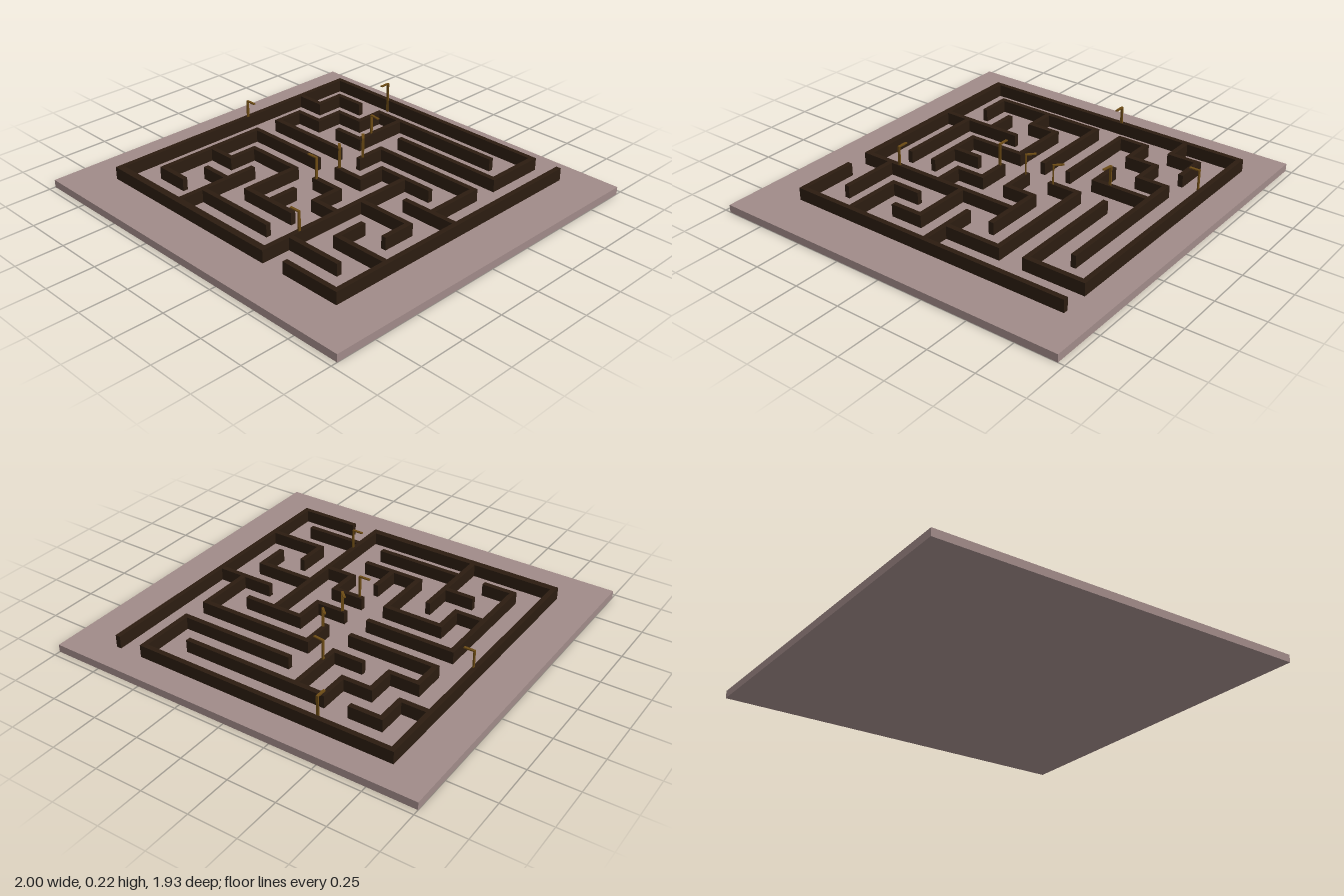
import * as THREE from 'three';

const BASE_TOP = 0.04, WALL_TOP = 0.106, WALL = 0.027;
const baseMat = new THREE.MeshStandardMaterial({ color: 0xa08a88 });
const wallMat = new THREE.MeshStandardMaterial({ color: 0x2b1c10 });
const lampMat = new THREE.MeshStandardMaterial({ color: 0x6b4a14 });

// Maze grid lines, 0 to 10 on each axis
const col = i => -0.78 + 0.1525 * i;
const row = j => -0.81 + 0.153 * j;

// Wall runs per row: [from column, to column]
const rows = [
  [[0, 9]],
  [[1, 2], [3, 8]],
  [[0, 1], [2, 3], [5, 9]],
  [[1, 2], [3, 4], [5, 9]],
  [[1, 4], [6, 8]],
  [[1, 4], [5, 6], [8, 10]],
  [[2, 4], [5, 6], [7, 9]],
  [[1, 2], [6, 7]],
  [[2, 3], [4, 6], [8, 10]],
  [[1, 2], [3, 6], [7, 9]],
  [[0, 7], [8, 10]],
];

// Wall runs per column: [from row, to row]
const cols = [
  [[0, 10]],
  [[1, 2], [3, 4], [5, 9]],
  [[2, 3], [6, 7]],
  [[1, 2], [7, 10]],
  [[1, 3], [6, 8]],
  [[3, 4], [7, 8]],
  [[4, 5], [6, 7]],
  [[4, 10]],
  [[7, 8]],
  [[0, 2], [3, 5], [6, 7]],
  [[0, 10]],
];

// Lamps: post x, post z, arm tip x, arm tip z, top height
const lamps = [
  [-0.775, -0.11, -0.72, -0.11, 0.2],
  [-0.39, -0.795, -0.39, -0.742, 0.21],
  [-0.17, -0.437, -0.115, -0.43, 0.212],
  [-0.012, -0.212, -0.05, -0.25, 0.211],
  [-0.012, -0.047, -0.05, -0.083, 0.216],
  [-0.01, 0.112, -0.067, 0.112, 0.224],
  [0.292, 0.508, 0.236, 0.508, 0.21],
];

function box(name, mat, w, h, d, x, y, z) {
  const mesh = new THREE.Mesh(new THREE.BoxGeometry(w, h, d), mat);
  mesh.name = name;
  mesh.position.set(x, y, z);
  return mesh;
}

// Post with a short flat arm, turned towards the arm tip
function makeLamp([x, z, tipX, tipZ, top]) {
  const lamp = new THREE.Group();
  lamp.name = 'lamp';
  const reach = Math.hypot(tipX - x, tipZ - z);
  const height = top - BASE_TOP;
  lamp.add(box('lampPost', lampMat, 0.007, height, 0.013, 0, height / 2, 0));
  lamp.add(box('lampArm', lampMat, reach, 0.006, 0.013, reach / 2, height - 0.003, 0));
  lamp.position.set(x, BASE_TOP, z);
  lamp.rotation.y = -Math.atan2(tipZ - z, tipX - x);
  return lamp;
}

export function createModel() {
  const model = new THREE.Group();
  model.name = 'maze';
  model.add(box('base', baseMat, 2, BASE_TOP, 1.934, 0, BASE_TOP / 2, 0));

  // Maze walls, sunk slightly into the base
  const walls = new THREE.Group();
  walls.name = 'walls';
  const bottom = BASE_TOP - 0.01, h = WALL_TOP - bottom, y = bottom + h / 2;
  rows.forEach((runs, j) => runs.forEach(([a, b]) => {
    const thick = j === 10 && a === 0 ? 0.037 : WALL;
    walls.add(box('wallAcross', wallMat, col(b) - col(a) + WALL, h, thick,
      (col(a) + col(b)) / 2, y, row(j)));
  }));
  cols.forEach((runs, i) => runs.forEach(([a, b]) => {
    walls.add(box('wallAlong', wallMat, WALL, h, row(b) - row(a) + WALL,
      col(i), y, (row(a) + row(b)) / 2));
  }));
  model.add(walls);

  const lampGroup = new THREE.Group();
  lampGroup.name = 'lamps';
  lamps.forEach(l => lampGroup.add(makeLamp(l)));
  model.add(lampGroup);
  return model;
}
